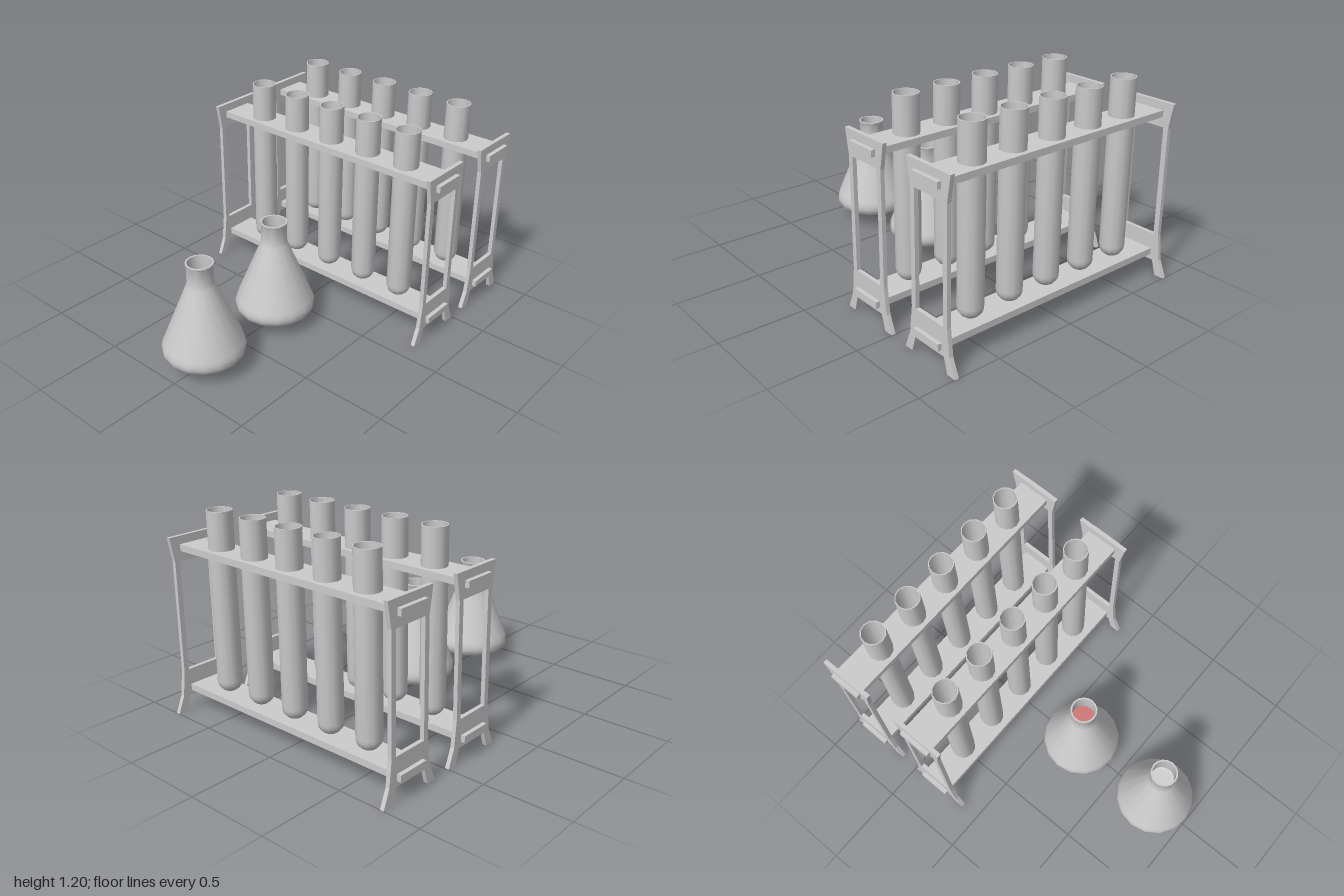
import * as THREE from 'three';
import { toCreasedNormals } from 'three/addons/utils/BufferGeometryUtils.js';

const glass = new THREE.MeshStandardMaterial({ color: 0xcccccc });
const red = new THREE.MeshStandardMaterial({ color: 0xd07878 });

const TUBE_XS = [-2, -1, 0, 1, 2].map((i) => i * 0.262);
const TUBE_R = 0.071;
const TUBE_SIDES = 12;
const FLASK_SIDES = 16;

function addMesh(parent, name, geometry, material = glass) {
  const mesh = new THREE.Mesh(geometry, material);
  mesh.name = name;
  parent.add(mesh);
  return mesh;
}

function lathe(points, sides) {
  const pts = points.map(([r, y]) => new THREE.Vector2(r, y));
  return toCreasedNormals(new THREE.LatheGeometry(pts, sides), 0.8);
}

// Quarter-round from the axis at the bottom up to the full radius
function roundBottom(r, bottom, steps = 6) {
  const pts = [];
  for (let i = 0; i <= steps; i++) {
    const a = (i / steps) * Math.PI / 2;
    pts.push([r * Math.sin(a), bottom + r * (1 - Math.cos(a))]);
  }
  return pts;
}

// Open test tube with a thin wall, optionally part filled
function createTube(filled) {
  const tube = new THREE.Group();
  tube.name = 'testTube';
  const bottom = 0.156, top = 1.2, wall = 0.006;
  const outer = [...roundBottom(TUBE_R, bottom), [TUBE_R, top]];
  const inner = [...roundBottom(TUBE_R - wall, bottom + wall), [TUBE_R - wall, top]];
  addMesh(tube, 'tubeGlass', lathe([...outer, ...inner.reverse()], TUBE_SIDES));
  if (filled) {
    const r = TUBE_R - wall - 0.001, level = 0.7;
    const body = [...roundBottom(r, bottom + wall + 0.001), [r, level], [0, level]];
    addMesh(tube, 'tubeLiquid', lathe(body, TUBE_SIDES), red);
  }
  return tube;
}

// Conical flask with rounded base edge and a small lip
function createFlask(filled) {
  const flask = new THREE.Group();
  flask.name = 'flask';
  addMesh(flask, 'flaskGlass', lathe([
    [0, 0.076], [0.18, 0.076], [0.205, 0.083], [0.223, 0.1], [0.231, 0.125],
    [0.23, 0.148], [0.222, 0.175], [0.078, 0.525], [0.073, 0.545],
    [0.073, 0.645], [0.077, 0.649], [0.077, 0.658],
    [0.067, 0.658], [0.067, 0.545], [0.072, 0.523],
    [0.215, 0.175], [0.222, 0.125], [0.2, 0.09], [0.178, 0.084], [0, 0.084],
  ], FLASK_SIDES));
  if (filled) {
    addMesh(flask, 'flaskLiquid', lathe([
      [0, 0.086], [0.178, 0.086], [0.199, 0.092], [0.22, 0.125],
      [0.213, 0.175], [0.14, 0.352], [0, 0.352],
    ], FLASK_SIDES), red);
  }
  return flask;
}

// End frame: flared top, two slim legs and splayed feet
function endFrameGeometry() {
  const half = [
    [0.16, 1.033], [0.135, 0.89], [0.135, 0.25], [0.152, 0.1],
    [0.193, 0], [0.136, 0], [0.11, 0.088],
  ];
  const mirrored = half.map(([z, y]) => [-z, y]).reverse();
  const toVectors = (list) => list.map(([z, y]) => new THREE.Vector2(z, y));
  const shape = new THREE.Shape(toVectors([...half, ...mirrored]));
  shape.holes.push(new THREE.Path(toVectors([
    [-0.104, 0.25], [0.104, 0.25], [0.104, 0.89], [-0.104, 0.89],
  ])));
  const depth = 0.024;
  return new THREE.ExtrudeGeometry(shape, { depth, bevelEnabled: false })
    .translate(0, 0, -depth / 2)
    .rotateY(-Math.PI / 2);
}

// Long shelf whose ends poke through the frames
function shelfGeometry(bottom, withHoles) {
  const w = 0.808, d = 0.095;
  const shape = new THREE.Shape([
    new THREE.Vector2(-w, -d), new THREE.Vector2(w, -d),
    new THREE.Vector2(w, d), new THREE.Vector2(-w, d),
  ]);
  if (withHoles) {
    for (const x of TUBE_XS) {
      const hole = [];
      for (let i = 0; i < TUBE_SIDES; i++) {
        const a = (i / TUBE_SIDES) * Math.PI * 2;
        hole.push(new THREE.Vector2(x + TUBE_R * Math.cos(a), TUBE_R * Math.sin(a)));
      }
      shape.holes.push(new THREE.Path(hole));
    }
  }
  return new THREE.ExtrudeGeometry(shape, { depth: 0.038, bevelEnabled: false })
    .rotateX(-Math.PI / 2)
    .translate(0, bottom, 0);
}

function createRack(filled) {
  const rack = new THREE.Group();
  rack.name = 'testTubeRack';
  const frame = endFrameGeometry();
  addMesh(rack, 'leftEndFrame', frame).position.x = 0.772;
  addMesh(rack, 'rightEndFrame', frame).position.x = -0.772;
  addMesh(rack, 'upperShelf', shelfGeometry(0.948, true));
  addMesh(rack, 'lowerShelf', shelfGeometry(0.118, false));
  for (const x of TUBE_XS) {
    const tube = createTube(filled);
    tube.position.x = x;
    rack.add(tube);
  }
  return rack;
}

export function createModel() {
  const model = new THREE.Group();
  model.name = 'laboratoryGlassware';
  const place = (part, z) => {
    part.position.z = z;
    model.add(part);
  };
  place(createRack(false), -0.807);
  place(createRack(true), -0.305);
  place(createFlask(true), 0.196);
  place(createFlask(false), 0.769);
  return model;
}
